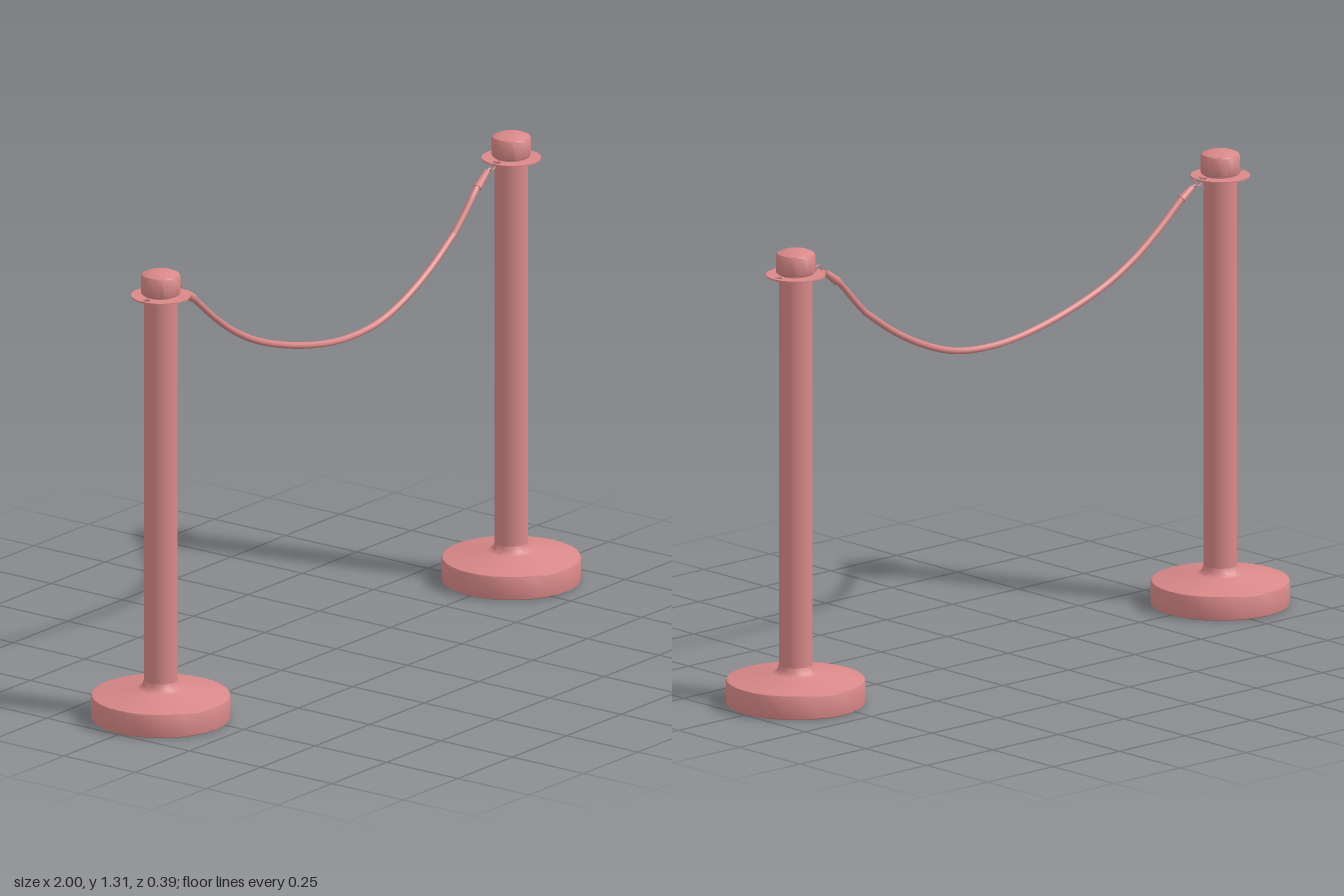
import * as THREE from 'three';
import { toCreasedNormals } from 'three/addons/utils/BufferGeometryUtils.js';

const material = new THREE.MeshStandardMaterial({ color: 0xd98888 });
const POST_X = 0.805;

function part(name, geometry, parent) {
  const mesh = new THREE.Mesh(geometry, material);
  mesh.name = name;
  parent.add(mesh);
  return mesh;
}

// Turned part from [radius, height] pairs, with sharp corners kept
function turned(profile) {
  const points = profile.map(([r, y]) => new THREE.Vector2(r, y));
  return toCreasedNormals(new THREE.LatheGeometry(points, 32), 0.6);
}

// Thin collar plate with two small holes for the rope hooks
function collarGeometry() {
  const shape = new THREE.Shape().absarc(0, 0, 0.083, 0, Math.PI * 2);
  for (const x of [-0.066, 0.066]) {
    shape.holes.push(new THREE.Path().absarc(x, 0, 0.011, 0, Math.PI * 2, true));
  }
  const plate = new THREE.ExtrudeGeometry(shape, { depth: 0.004, bevelEnabled: false, curveSegments: 32 });
  return plate.rotateX(-Math.PI / 2).translate(0, 1.232, 0);
}

function createPost(name) {
  const post = new THREE.Group();
  post.name = name;
  // Weighted foot, rising in a shallow cone and a fillet into the pole
  part('base', turned([
    [0, 0], [0.189, 0], [0.194, 0.003], [0.195, 0.008], [0.195, 0.064], [0.193, 0.069],
    [0.188, 0.071], [0.066, 0.088], [0.057, 0.092], [0.051, 0.099], [0.047, 0.112],
  ]), post);
  part('pole', new THREE.CylinderGeometry(0.047, 0.047, 1.135, 32, 1, true).translate(0, 0.6725, 0), post);
  part('collar', collarGeometry(), post);
  // Domed cap above the collar
  part('cap', turned([
    [0.044, 1.232], [0.047, 1.241], [0.053, 1.241], [0.055, 1.244], [0.055, 1.292],
    [0.052, 1.297], [0.036, 1.304], [0.019, 1.308], [0, 1.309],
  ]), post);
  return post;
}

// Round bar between two points, wider or narrower at either end
function bar(a, b, ra, rb, sides = 10) {
  const direction = new THREE.Vector3().subVectors(b, a);
  const turn = new THREE.Quaternion().setFromUnitVectors(
    new THREE.Vector3(0, 1, 0), direction.clone().normalize());
  const geometry = new THREE.CylinderGeometry(rb, ra, direction.length(), sides);
  const middle = a.clone().add(b).multiplyScalar(0.5);
  return geometry.applyQuaternion(turn).translate(middle.x, middle.y, middle.z);
}

// Ring, pin and ferrule that join a rope end to a collar
function createHook(name, ring, start, end) {
  const hook = new THREE.Group();
  hook.name = name;
  part('ring', new THREE.TorusGeometry(0.0135, 0.0022, 8, 24), hook).position.copy(ring);
  const edge = ring.clone().lerp(start, 0.0135 / ring.distanceTo(start));
  part('pin', bar(edge, start, 0.004, 0.004, 8), hook);
  part('ferrule', bar(start, end, 0.009, 0.0125), hook);
  return hook;
}

export function createModel() {
  const model = new THREE.Group();
  model.name = 'ropeBarrier';

  for (const [name, x] of [['leftPost', POST_X], ['rightPost', -POST_X]]) {
    const post = createPost(name);
    post.position.x = x;
    model.add(post);
  }

  // Sagging rope, lowest a little to the left of centre
  const sag = [
    [-0.665, 1.197], [-0.564, 1.112], [-0.473, 1.048], [-0.382, 1.0], [-0.286, 0.963],
    [-0.152, 0.925], [-0.019, 0.901], [0.088, 0.896], [0.195, 0.906], [0.302, 0.939],
    [0.425, 1.0], [0.543, 1.08],
  ].map(([x, y]) => new THREE.Vector3(x, y, 0.001));
  part('rope', new THREE.TubeGeometry(new THREE.CatmullRomCurve3(sag), 48, 0.0095, 8), model);

  // Steeper rope end, bent up to the left hook
  const bend = [[0.539, 1.077, 0.001], [0.585, 1.126, 0.004], [0.625, 1.17, 0.004], [0.66, 1.2, 0]]
    .map((p) => new THREE.Vector3(...p));
  part('ropeEnd', new THREE.TubeGeometry(new THREE.CatmullRomCurve3(bend), 10, 0.0095, 8), model);

  const v = (x, y, z = 0) => new THREE.Vector3(x, y, z);
  model.add(createHook('rightHook', v(-0.721, 1.232), v(-0.698, 1.218), v(-0.658, 1.191)));
  model.add(createHook('leftHook', v(0.719, 1.233), v(0.694, 1.222), v(0.645, 1.187, 0.003)));
  return model;
}
